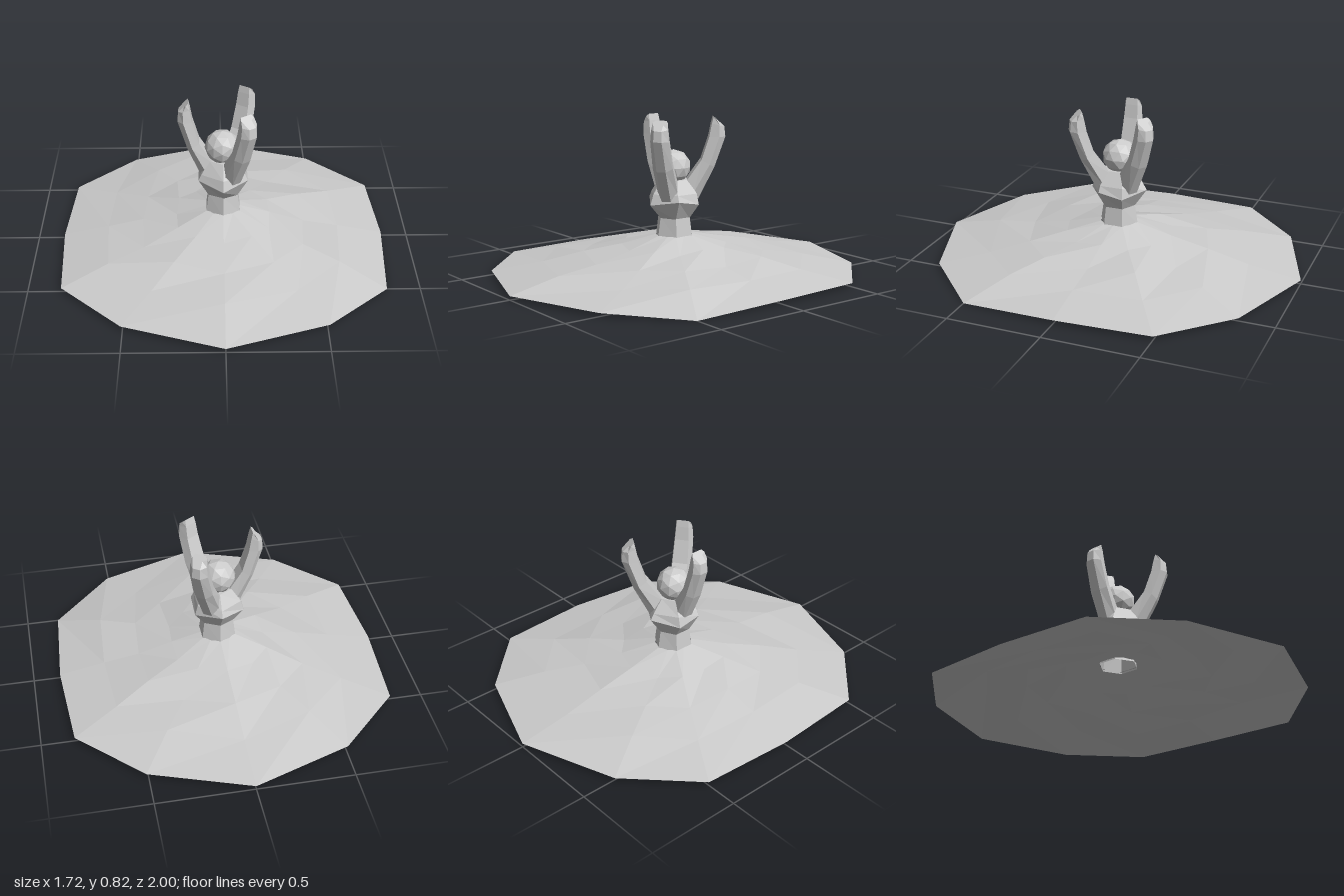
import * as THREE from 'three';

const material = new THREE.MeshStandardMaterial({ color: 0xcccccc, flatShading: true, side: THREE.DoubleSide });

// Joins cross-section loops (arrays of [x, y, z]) into one surface, with optional end caps.
function loft(name, loops, capStart = false, capEnd = false) {
  const n = loops[0].length;
  const index = [];
  for (let r = 0; r < loops.length - 1; r++) {
    for (let i = 0; i < n; i++) {
      const a = r * n + i, b = r * n + (i + 1) % n;
      index.push(a, a + n, b, b, a + n, b + n);
    }
  }
  const last = (loops.length - 1) * n;
  for (let i = 1; i < n - 1; i++) {
    if (capStart) index.push(0, i, i + 1);
    if (capEnd) index.push(last, last + i + 1, last + i);
  }
  const geometry = new THREE.BufferGeometry();
  geometry.setAttribute('position', new THREE.Float32BufferAttribute(loops.flat(2), 3));
  geometry.setIndex(index);
  const flat = geometry.toNonIndexed();
  flat.computeVertexNormals();
  const mesh = new THREE.Mesh(flat, material);
  mesh.name = name;
  return mesh;
}

// Wide sloping ground sheet, open underneath, with gently uneven facets.
function createGround() {
  const quarter = [[0, 1], [0.51, 0.82], [0.83, 0.5], [0.86, 0]];
  const rim = [
    ...quarter,
    [0.83, -0.5], [0.51, -0.82], [0, -1],
    [-0.51, -0.82], [-0.83, -0.5], [-0.86, 0], [-0.83, 0.5], [-0.51, 0.82],
  ];
  const rings = [[1, 0.02, 0], [0.72, 0.07, 0.008], [0.5, 0.108, 0.009], [0.29, 0.15, 0.008], [0.1, 0.2, 0]];
  const loops = rings.map(([scale, y, bump], r) => rim.map(([x, z], i) => [
    x * scale, y + bump * Math.sin(i * 2.6 + r * 1.9), z * scale,
  ]));
  loops[0][2][1] = 0; // one drooping corner
  // Reverse so that the upper side is the front.
  return loft('ground', loops.map((loop) => loop.reverse()));
}

// Six-sided loop with separate corner sizes for the z tips and the sides.
function hexLoop(y, tip, sideX, sideZ, zigzag = 0) {
  return [
    [0, y - zigzag, tip], [-sideX, y + zigzag, sideZ], [-sideX, y - zigzag, -sideZ],
    [0, y + zigzag, -tip], [sideX, y - zigzag, -sideZ], [sideX, y + zigzag, sideZ],
  ];
}

// Upright arm, bent outwards, with a chamfered tip; built pointing along +x.
function createArm(name, angle, reach) {
  // [inner x, inner y, outer x, outer y, half width]
  const sections = [
    [0.05, 0.48, 0.11, 0.39, 0.055],
    [0.125, 0.6, 0.185, 0.56, 0.055],
    [0.16, 0.72, 0.235, 0.72, 0.05],
    [0.172, 0.79, 0.23, 0.775, 0.045],
    [0.18, 0.825, 0.2, 0.805, 0.04],
  ];
  const loops = sections.map(([ix, iy, ox, oy, w]) => {
    const mx = ix + (ox - ix) * 0.6, my = iy + (oy - iy) * 0.6;
    return [
      [ix, iy, w * 0.75], [mx, my, w], [ox, oy, w * 0.45],
      [ox, oy, -w * 0.45], [mx, my, -w], [ix, iy, -w * 0.75],
    ].map(([x, y, z]) => [x * reach, y, z]);
  });
  const arm = loft(name, loops, true, true);
  arm.rotation.y = angle;
  return arm;
}

export function createModel() {
  const model = new THREE.Group();
  model.name = 'statue';
  model.add(createGround());

  // Column rising out of the ground, open below.
  model.add(loft('column', [
    hexLoop(0.19, 0.105, 0.09, 0.052),
    hexLoop(0.3, 0.088, 0.077, 0.045),
  ].map((loop) => loop.reverse())));

  // Faceted torso with a zigzag waist.
  model.add(loft('torso', [
    hexLoop(0.29, 0.085, 0.075, 0.045),
    hexLoop(0.38, 0.155, 0.13, 0.065, 0.012),
    hexLoop(0.425, 0.135, 0.115, 0.062),
    hexLoop(0.495, 0.08, 0.07, 0.042),
  ].map((loop) => loop.reverse()), true, true));

  // Ball head.
  const head = new THREE.Mesh(new THREE.IcosahedronGeometry(0.092, 1), material);
  head.name = 'head';
  head.position.set(-0.005, 0.56, 0);
  model.add(head);

  // Three raised arms.
  const spread = THREE.MathUtils.degToRad(56);
  model.add(createArm('rightArm', Math.PI, 1));
  model.add(createArm('frontArm', -spread, 1.12));
  model.add(createArm('backArm', spread, 1.14));
  return model;
}
